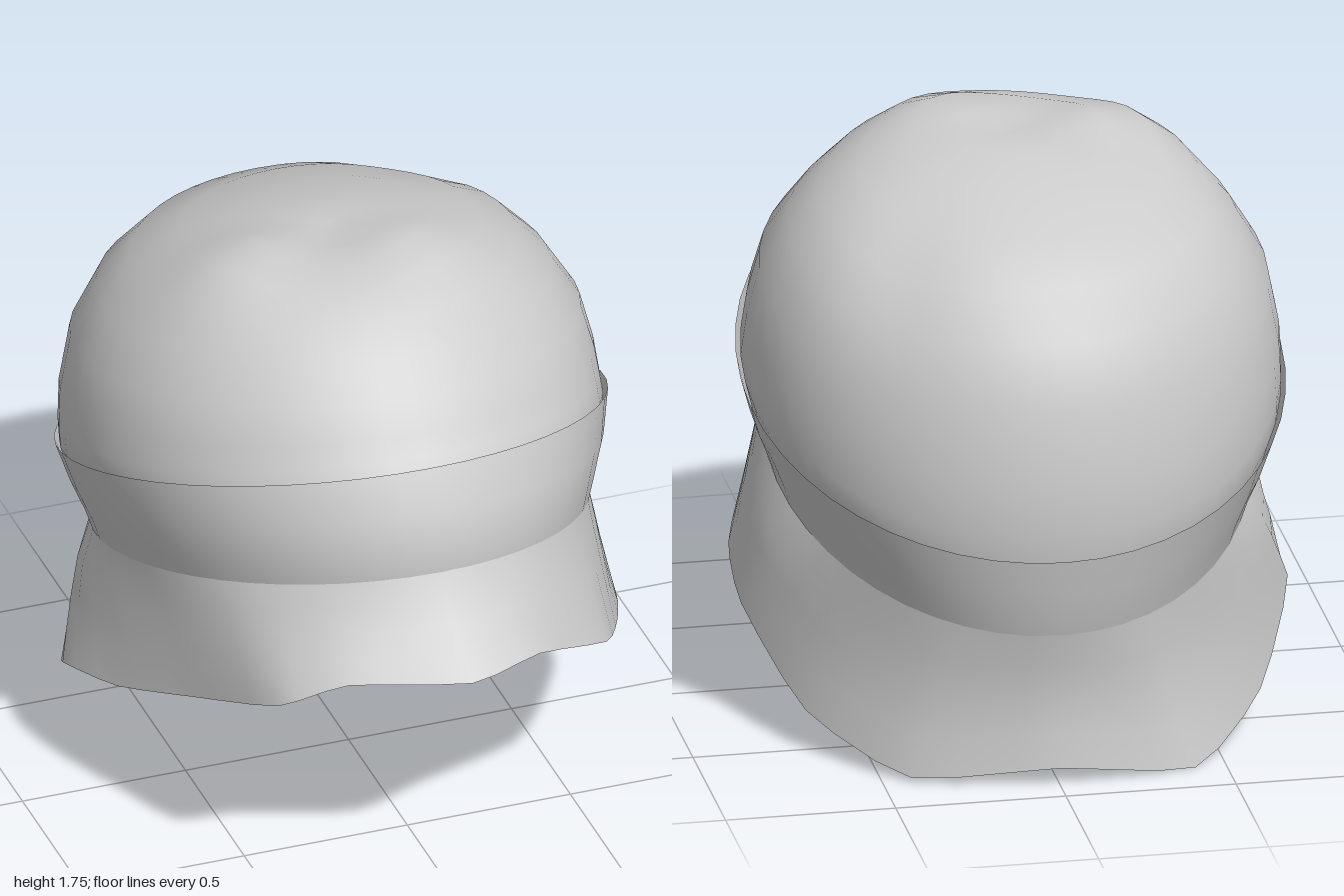
import * as THREE from 'three';

const SEGMENTS = 48;
const { lerp, smoothstep } = THREE.MathUtils;

// Tilted oval ring running from its front point to its back point, with half width w.
function ovalRing([zf, yf, zb, yb, w]) {
  const points = [];
  for (let j = 0; j < SEGMENTS; j++) {
    const a = (j / SEGMENTS) * Math.PI * 2;
    const t = (1 - Math.cos(a)) / 2;
    points.push(new THREE.Vector3(w * Math.sin(a), lerp(yf, yb, t), lerp(zf, zb, t)));
  }
  return points;
}

// Ring through a few irregular points, starting at the front and going round by +x.
function freeRing(list) {
  const curve = new THREE.CatmullRomCurve3(
    list.map((p) => new THREE.Vector3(...p)), true, 'catmullrom', 0.3);
  return Array.from({ length: SEGMENTS }, (_, j) => curve.getPoint(j / SEGMENTS));
}

// Skin between rings ordered from bottom to top.
function loft(rings) {
  const position = [], index = [];
  rings.forEach((ring) => ring.forEach((p) => position.push(p.x, p.y, p.z)));
  for (let i = 0; i < rings.length - 1; i++) {
    for (let j = 0; j < SEGMENTS; j++) {
      const k = (j + 1) % SEGMENTS;
      const a = i * SEGMENTS + j, b = i * SEGMENTS + k;
      const c = a + SEGMENTS, d = b + SEGMENTS;
      index.push(a, b, c, b, d, c);
    }
  }
  const geometry = new THREE.BufferGeometry();
  geometry.setAttribute('position', new THREE.Float32BufferAttribute(position, 3));
  geometry.setIndex(index);
  geometry.computeVertexNormals();
  return geometry;
}

// Soft lumps of the crown: x, z, radius, height.
const LUMPS = [
  [-0.36, 0.0, 0.18, 0.05],
  [0.2, 0.14, 0.16, 0.03],
  [-0.1, 0.0, 0.22, -0.035],
  [0.45, -0.65, 0.17, -0.04],
];

// The lumps fade out towards the band.
function addLumps(ring) {
  for (const p of ring) {
    const { x, z } = p;
    const fade = smoothstep(p.y, 1.1, 1.5);
    for (const [cx, cz, r, h] of LUMPS) {
      p.y += fade * h * Math.exp(-((x - cx) ** 2 + (z - cz) ** 2) / (r * r));
    }
  }
  return ring;
}

export function createModel() {
  const model = new THREE.Group();
  model.name = 'hat';
  const material = new THREE.MeshStandardMaterial({ color: 0xcccccc, side: THREE.DoubleSide });
  const add = (name, rings) => {
    const mesh = new THREE.Mesh(loft(rings), material);
    mesh.name = name;
    model.add(mesh);
  };

  // Crown: front z, front y, back z, back y, half width; it lines the band down to its foot
  add('crown', [
    [0.78, 1.03, -0.92, 0.47, 0.688],
    [0.755, 1.2, -0.965, 0.61, 0.747],
    [0.69, 1.31, -0.985, 0.72, 0.778],
    [0.655, 1.345, -0.993, 0.8, 0.777],
    [0.62, 1.4, -0.997, 0.95, 0.768],
    [0.56, 1.48, -0.96, 1.18, 0.735],
    [0.47, 1.57, -0.89, 1.36, 0.655],
    [0.385, 1.645, -0.78, 1.49, 0.56],
    [0.28, 1.7, -0.62, 1.58, 0.44],
    [0.17, 1.74, -0.42, 1.66, 0.29],
    [0.06, 1.745, -0.25, 1.71, 0.15],
    [-0.03, 1.74, -0.17, 1.727, 0.07],
    [-0.1, 1.735, -0.1, 1.735, 0.001],
  ].map(ovalRing).map(addLumps));

  // Band: slopes down to the back and bulges at the front
  const bandFoot = ovalRing([0.79, 1.03, -0.94, 0.48, 0.7]);
  add('band', [
    bandFoot,
    ovalRing([0.79, 1.1, -0.958, 0.54, 0.72]),
    ovalRing([0.765, 1.21, -0.977, 0.62, 0.758]),
    ovalRing([0.7, 1.33, -1.0, 0.73, 0.793]),
  ]);

  // Skirt: short peak in front, sides that flare out early, deep neck guard behind
  const hem = freeRing([
    [0.02, 0.77, 1.0], [0.26, 0.77, 0.91], [0.55, 0.61, 0.67], [0.68, 0.5, 0.4],
    [0.775, 0.41, 0.13], [0.795, 0.34, -0.17], [0.67, 0.13, -0.51], [0.42, 0.02, -0.81],
    [0.0, 0.06, -0.92],
    [-0.41, 0.005, -0.85], [-0.66, 0.11, -0.54], [-0.805, 0.32, -0.2], [-0.745, 0.4, 0.1],
    [-0.63, 0.53, 0.43], [-0.5, 0.68, 0.79], [-0.32, 0.77, 0.89],
  ]);
  const skirt = [1, 0.75, 0.5, 0.25, 0].map((t) => bandFoot.map((p, j) => {
    const side = (p.x / 0.7) ** 4;
    const flare = t ** lerp(1.25, 0.6, side);
    const hollow = 0.03 * Math.sin(Math.PI * t) * Math.max(0, -p.z);
    return new THREE.Vector3(
      lerp(p.x, hem[j].x, flare),
      lerp(p.y, hem[j].y, t),
      lerp(p.z, hem[j].z, t ** 1.25) + hollow);
  }));
  add('skirt', skirt);

  return model;
}
